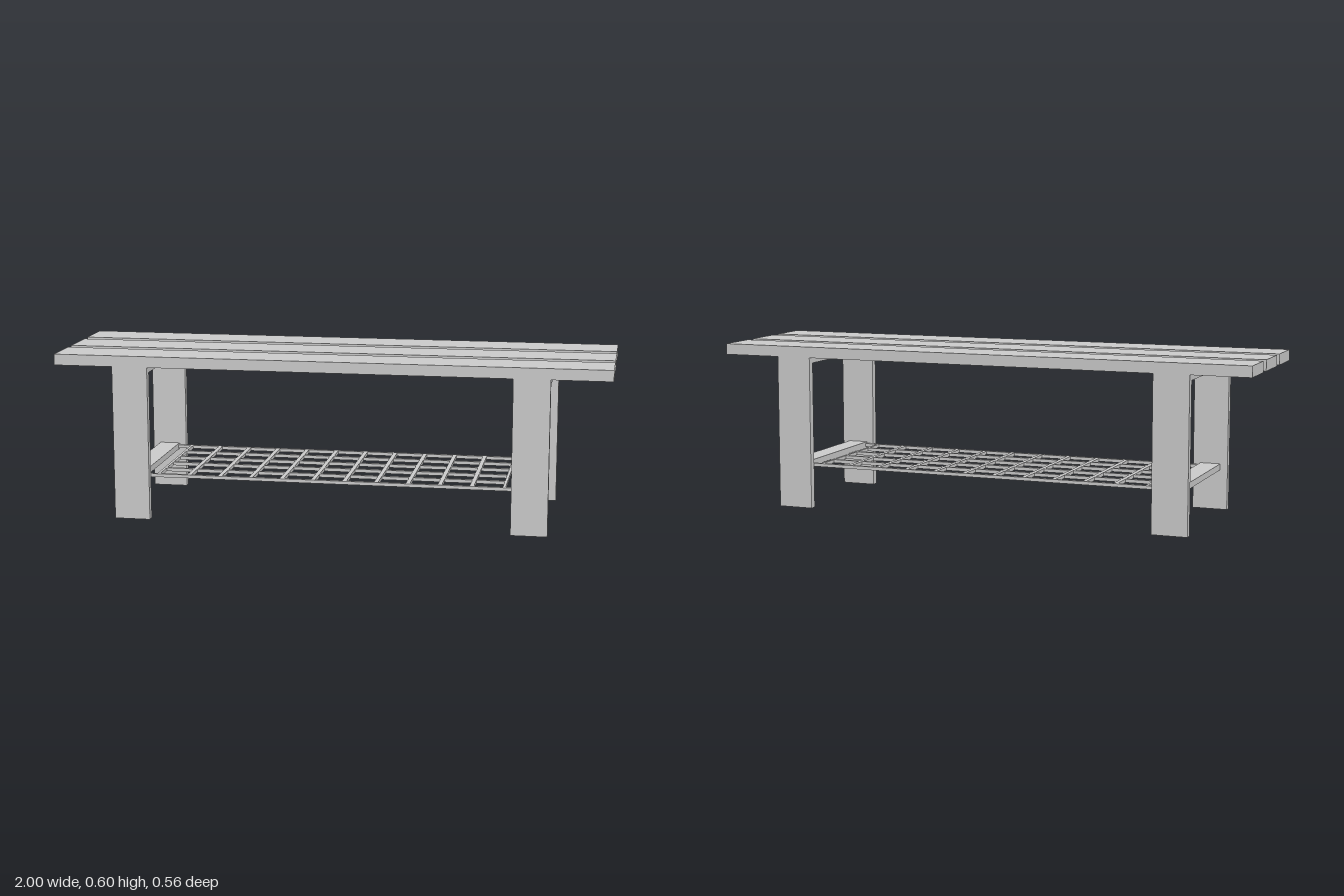
import * as THREE from 'three';

export function createModel() {
  const bench = new THREE.Group();
  bench.name = 'slattedBench';
  const material = new THREE.MeshStandardMaterial({ color: 0xcccccc, flatShading: true });

  // Box given by its size and centre
  function box(name, parent, [w, h, d], [x, y, z]) {
    const mesh = new THREE.Mesh(new THREE.BoxGeometry(w, h, d), material);
    mesh.name = name;
    mesh.position.set(x, y, z);
    parent.add(mesh);
  }

  // Three seat planks
  const seat = new THREE.Group();
  seat.name = 'seat';
  for (const z of [-0.2, 0, 0.2]) box('seatPlank', seat, [2, 0.04, 0.16], [0, 0.58, z]);
  bench.add(seat);

  // Two end frames: flat legs, top bar and narrower lower rail
  for (const side of [-1, 1]) {
    const frame = new THREE.Group();
    frame.name = side > 0 ? 'leftFrame' : 'rightFrame';
    frame.position.x = side * 0.72;
    for (const end of [-1, 1]) {
      box(end > 0 ? 'frontLeg' : 'backLeg', frame, [0.13, 0.56, 0.026], [0, 0.28, end * 0.267]);
    }
    box('topBar', frame, [0.13, 0.021, 0.508], [0, 0.5495, 0]);
    box('lowerRail', frame, [0.075, 0.023, 0.508], [0, 0.1585, 0]);
    bench.add(frame);
  }

  // Wire shelf: the outer long wires reach the rails, the inner ones stop at the end wires
  const shelf = new THREE.Group();
  shelf.name = 'wireShelf';
  const wireY = 0.159;
  for (let i = 0; i < 6; i++) {
    const outer = i === 0 || i === 5;
    box('longWire', shelf, [outer ? 1.38 : 1.25, 0.012, 0.013], [0, wireY, -0.245 + i * 0.098]);
  }
  for (let i = 0; i < 12; i++) {
    const outer = i === 0 || i === 11;
    box('crossWire', shelf, [outer ? 0.01 : 0.015, 0.012, 0.49], [-0.628 + i * 1.256 / 11, wireY, 0]);
  }
  bench.add(shelf);

  return bench;
}
